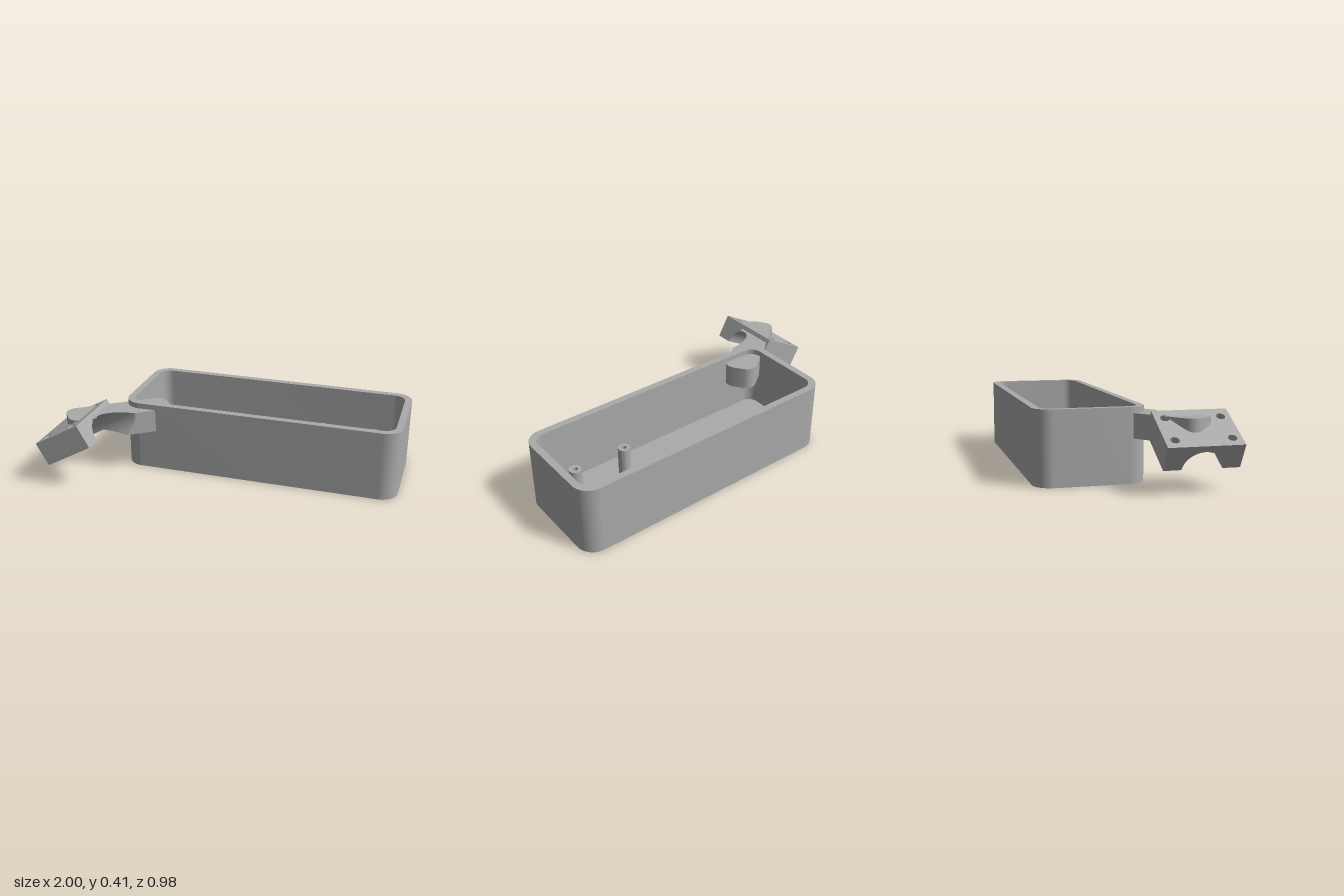
import * as THREE from 'three';
import { toCreasedNormals } from 'three/addons/utils/BufferGeometryUtils.js';

const grey = new THREE.MeshStandardMaterial({ color: 0xaaaaaa });
grey.name = 'grey plastic';

function part(name, geometry) {
  const mesh = new THREE.Mesh(toCreasedNormals(geometry, 0.5), grey);
  mesh.name = name;
  return mesh;
}

// Shapes are drawn in plan as (x, -z) and raised along y.
function raise(shape, y0, y1) {
  return new THREE.ExtrudeGeometry(shape, { depth: y1 - y0, bevelEnabled: false, curveSegments: 20 })
    .rotateX(-Math.PI / 2).translate(0, y0, 0);
}

function roundedRect(path, x0, x1, y0, y1, r) {
  path.moveTo(x0 + r, y0);
  path.lineTo(x1 - r, y0);
  path.absarc(x1 - r, y0 + r, r, -Math.PI / 2, 0);
  path.lineTo(x1, y1 - r);
  path.absarc(x1 - r, y1 - r, r, 0, Math.PI / 2);
  path.lineTo(x0 + r, y1);
  path.absarc(x0 + r, y1 - r, r, Math.PI / 2, Math.PI);
  path.lineTo(x0, y0 + r);
  path.absarc(x0 + r, y0 + r, r, Math.PI, Math.PI * 1.5);
  return path;
}

function rect(path, x0, x1, y0, y1) {
  path.moveTo(x0, y0);
  path.lineTo(x1, y0);
  path.lineTo(x1, y1);
  path.lineTo(x0, y1);
  path.closePath();
  return path;
}

const circle = (path, x, y, r) => path.absarc(x, y, r, 0, Math.PI * 2);

// Clamp channel: radius, tilt and the start of its axis
const R = 0.107, TILT = 29 * Math.PI / 180, AX = -0.93, AY = 0.125, AZ = 0.2875;

function createTray() {
  const tray = new THREE.Group();
  tray.name = 'tray';
  const FLOOR = 0.04;

  const floor = roundedRect(new THREE.Shape(), -0.62, 1, -0.11, 0.49, 0.1);
  floor.holes.push(
    rect(new THREE.Path(), -0.38, -0.14, 0.115, 0.27),
    circle(new THREE.Path(), 0.2, 0.19, 0.095),
    circle(new THREE.Path(), 0.65, 0.19, 0.128));
  tray.add(part('trayFloor', raise(floor, 0, FLOOR)));

  const wall = roundedRect(new THREE.Shape(), -0.62, 1, -0.11, 0.49, 0.1);
  wall.holes.push(roundedRect(new THREE.Path(), -0.58, 0.96, -0.07, 0.45, 0.065));
  tray.add(part('trayWall', raise(wall, FLOOR, 0.405)));

  // Screw posts around the large hole
  for (const x of [0.49, 0.805]) for (const y of [0.08, 0.305]) {
    const ring = circle(new THREE.Shape(), x, y, 0.035);
    ring.holes.push(circle(new THREE.Path(), x, y, 0.014));
    tray.add(part('screwPost', raise(ring, FLOOR, 0.22)));
  }
  return tray;
}

function createClamp() {
  const clamp = new THREE.Group();
  clamp.name = 'clamp';
  const L = 0.302, T = 0.143, W = 0.2025;

  // Bolt flanges on both sides of the channel
  for (const side of [-1, 1]) {
    const edges = [side * R, side * W].sort((a, b) => a - b);
    const flange = rect(new THREE.Shape(), 0, L, edges[0], edges[1]);
    for (const x of [0.058, 0.237]) flange.holes.push(circle(new THREE.Path(), x, side * 0.15, 0.024));
    clamp.add(part('clampFlange', raise(flange, 0, T)));
  }

  // Arched bridge over the channel
  const arch = new THREE.Shape();
  arch.moveTo(R, 0);
  arch.lineTo(R, T);
  arch.lineTo(-R, T);
  arch.lineTo(-R, 0);
  arch.absarc(0, 0, R, Math.PI, 0, true);
  clamp.add(part('clampBridge',
    new THREE.ExtrudeGeometry(arch, { depth: L, bevelEnabled: false, curveSegments: 32 }).rotateY(Math.PI / 2)));

  clamp.position.set(AX, AY, AZ);
  clamp.rotation.z = TILT;
  return clamp;
}

// Round-cornered arm, sliced by height, each slice trimmed by the tilted channel
function createArm() {
  const H = 0.3, HW = 0.0917, RAD = 0.06, Y0 = 0.24, Y1 = 0.373, CX = -0.63, CZ = 0.15;
  const dx = 0.809, dz = -0.588, nx = 0.588, nz = 0.809;
  const stations = [], layers = 12;
  for (let i = 0; i <= 8; i++) stations.push(-H + RAD * (1 - Math.cos(i / 8 * Math.PI / 2)));
  for (let i = 1; i < 70; i++) stations.push(-H + RAD + (2 * H - 2 * RAD) * i / 70);
  for (let i = 8; i >= 0; i--) stations.push(H - RAD * (1 - Math.cos(i / 8 * Math.PI / 2)));

  const halfWidth = s => {
    const e = Math.max(0, Math.abs(s) - (H - RAD));
    return HW - RAD + Math.sqrt(Math.max(0, RAD * RAD - e * e));
  };
  // Where the slice at height y first meets the channel's ellipse
  const channelEntry = (s, y) => {
    const a = R / Math.sin(TILT), x0 = AX + (y - AY) / Math.tan(TILT);
    const px = (CX + s * dx - x0) / a, pz = (CZ + s * dz - AZ) / R;
    const qx = nx / a, qz = nz / R;
    const A = qx * qx + qz * qz, B = px * qx + pz * qz, C = px * px + pz * pz - 1;
    const disc = B * B - A * C;
    return disc < 0 ? Infinity : (-B - Math.sqrt(disc)) / A;
  };

  const rows = [];
  for (let j = 0; j <= layers; j++) {
    const y = Y0 + (Y1 - Y0) * j / layers;
    rows.push(stations.map(s => {
      const h = halfWidth(s), w = Math.max(-h, Math.min(h, channelEntry(s, y)));
      const at = v => [CX + s * dx + v * nx, y, CZ + s * dz + v * nz];
      return { back: at(-h), front: at(w), width: w + h };
    }));
  }

  const pos = [];
  const quad = (a, b, c, d) => pos.push(...a, ...b, ...c, ...a, ...c, ...d);
  const last = stations.length - 1, top = rows[layers], low = rows[0];
  for (let i = 0; i < last; i++) {
    for (let j = 0; j < layers; j++) {
      const a = rows[j][i], b = rows[j][i + 1], c = rows[j + 1][i + 1], d = rows[j + 1][i];
      if (a.width + b.width + c.width + d.width < 1e-6) continue;
      quad(a.front, b.front, c.front, d.front);
      quad(a.back, d.back, c.back, b.back);
    }
    if (top[i].width + top[i + 1].width > 1e-6) quad(top[i].back, top[i].front, top[i + 1].front, top[i + 1].back);
    if (low[i].width + low[i + 1].width > 1e-6) quad(low[i].back, low[i + 1].back, low[i + 1].front, low[i].front);
  }
  // Flat ends
  for (let j = 0; j < layers; j++) {
    const a = rows[j], b = rows[j + 1];
    quad(a[last].back, b[last].back, b[last].front, a[last].front);
    if (a[0].width + b[0].width > 1e-6) quad(a[0].back, a[0].front, b[0].front, b[0].back);
  }
  const geometry = new THREE.BufferGeometry();
  geometry.setAttribute('position', new THREE.Float32BufferAttribute(pos, 3));
  return part('arm', geometry);
}

export function createModel() {
  const model = new THREE.Group();
  model.name = 'trayWithClamp';
  model.add(createTray(), createArm(), createClamp());
  return model;
}
